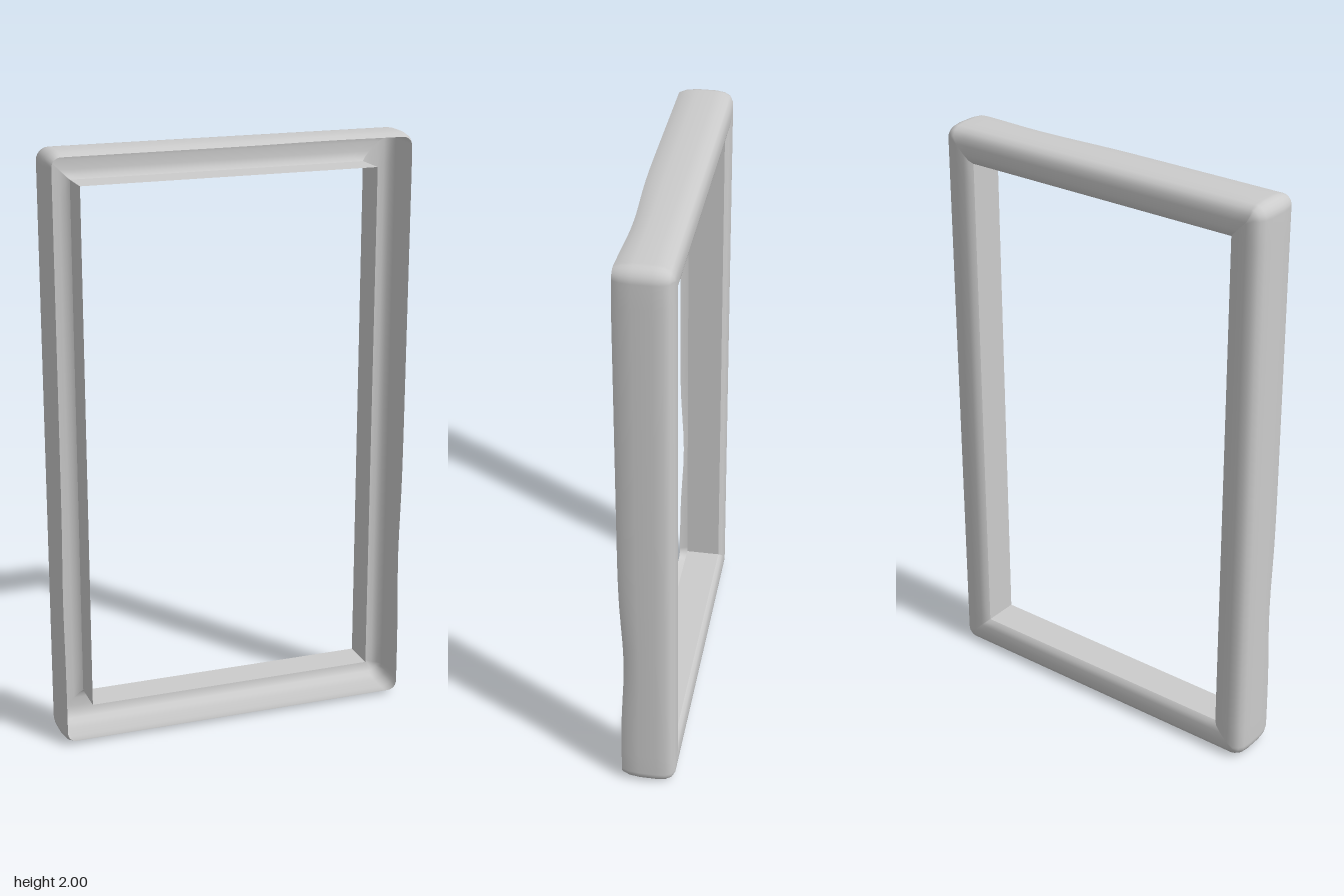
import * as THREE from 'three';

const HALF_W = 0.618, HALF_H = 1, CORNER = 0.045, SIDE_STEPS = 24, ARC_STEPS = 6;

// Points of a rounded rectangle inset by d, counter-clockwise
function ring(d, z) {
  const w = HALF_W - d, h = HALF_H - d, r = Math.max(CORNER - d, 0.001);
  const corners = [[1, 1], [-1, 1], [-1, -1], [1, -1]];
  const arcs = corners.map(([sx, sy], q) => Array.from({ length: ARC_STEPS + 1 }, (_, i) => {
    const a = (q + i / ARC_STEPS) * Math.PI / 2;
    return new THREE.Vector3(sx * (w - r) + r * Math.cos(a), sy * (h - r) + r * Math.sin(a), z);
  }));
  const pts = [];
  arcs.forEach((arc, q) => {
    pts.push(...arc);
    const next = arcs[(q + 1) % 4][0];
    for (let i = 1; i < SIDE_STEPS; i++) pts.push(arc[ARC_STEPS].clone().lerp(next, i / SIDE_STEPS));
  });
  return pts;
}

// Gentle hand-made unevenness of the outer front edge
const bump = (t, centre, width) => Math.exp(-(((t - centre) / width) ** 2));
function wobble(p) {
  if (p.z < 0) return;
  const k = p.z / 0.09;
  if (p.y > 0.93) p.z -= 0.013 * k * bump(p.x, 0.33, 0.2);
  else if (Math.abs(p.x) > 0.58) p.z -= 0.014 * k * bump(p.y, -0.48, 0.2);
}

// Skin a [inset, z] profile around the frame
function loft(profile, uneven) {
  const rings = profile.map(([d, z]) => ring(d, z));
  const n = rings[0].length, pos = [], index = [];
  rings.flat().forEach((p) => {
    if (uneven) wobble(p);
    pos.push(p.x, p.y + HALF_H, p.z);
  });
  for (let j = 0; j < rings.length - 1; j++) {
    for (let i = 0; i < n; i++) {
      const k = (i + 1) % n, a = j * n + i, b = j * n + k;
      index.push(a, a + n, b, b, a + n, b + n);
    }
  }
  const geo = new THREE.BufferGeometry();
  geo.setAttribute('position', new THREE.Float32BufferAttribute(pos, 3));
  geo.setIndex(index);
  geo.computeVertexNormals();
  return geo;
}

export function createModel() {
  const group = new THREE.Group();
  group.name = 'openFrame';
  const material = new THREE.MeshStandardMaterial({ color: 0xcccccc, side: THREE.DoubleSide });
  const add = (name, geometry) => {
    const mesh = new THREE.Mesh(geometry, material);
    mesh.name = name;
    group.add(mesh);
  };

  // Outer shell: open at the front, rounded over at the back
  add('frameShell', loft([
    [0.014, 0.09], [0.004, 0.065], [0, 0.03], [0, -0.03], [0.004, -0.06], [0.014, -0.079],
    [0.032, -0.089], [0.055, -0.091], [0.085, -0.09], [0.103, -0.086], [0.115, -0.075],
  ], true));

  // Thin straight wall around the opening, set back from the front edge
  const d = 0.115, w = HALF_W - d, h = HALF_H - d, z0 = -0.075, depth = 0.12;
  for (const s of [-1, 1]) {
    const side = new THREE.PlaneGeometry(depth, 2 * h);
    side.rotateY(-s * Math.PI / 2).translate(s * w, HALF_H, z0 + depth / 2);
    add(s > 0 ? 'openingWallLeft' : 'openingWallRight', side);
    const flat = new THREE.PlaneGeometry(2 * w, depth);
    flat.rotateX(s * Math.PI / 2).translate(0, HALF_H + s * h, z0 + depth / 2);
    add(s > 0 ? 'openingWallTop' : 'openingWallBottom', flat);
  }
  return group;
}
